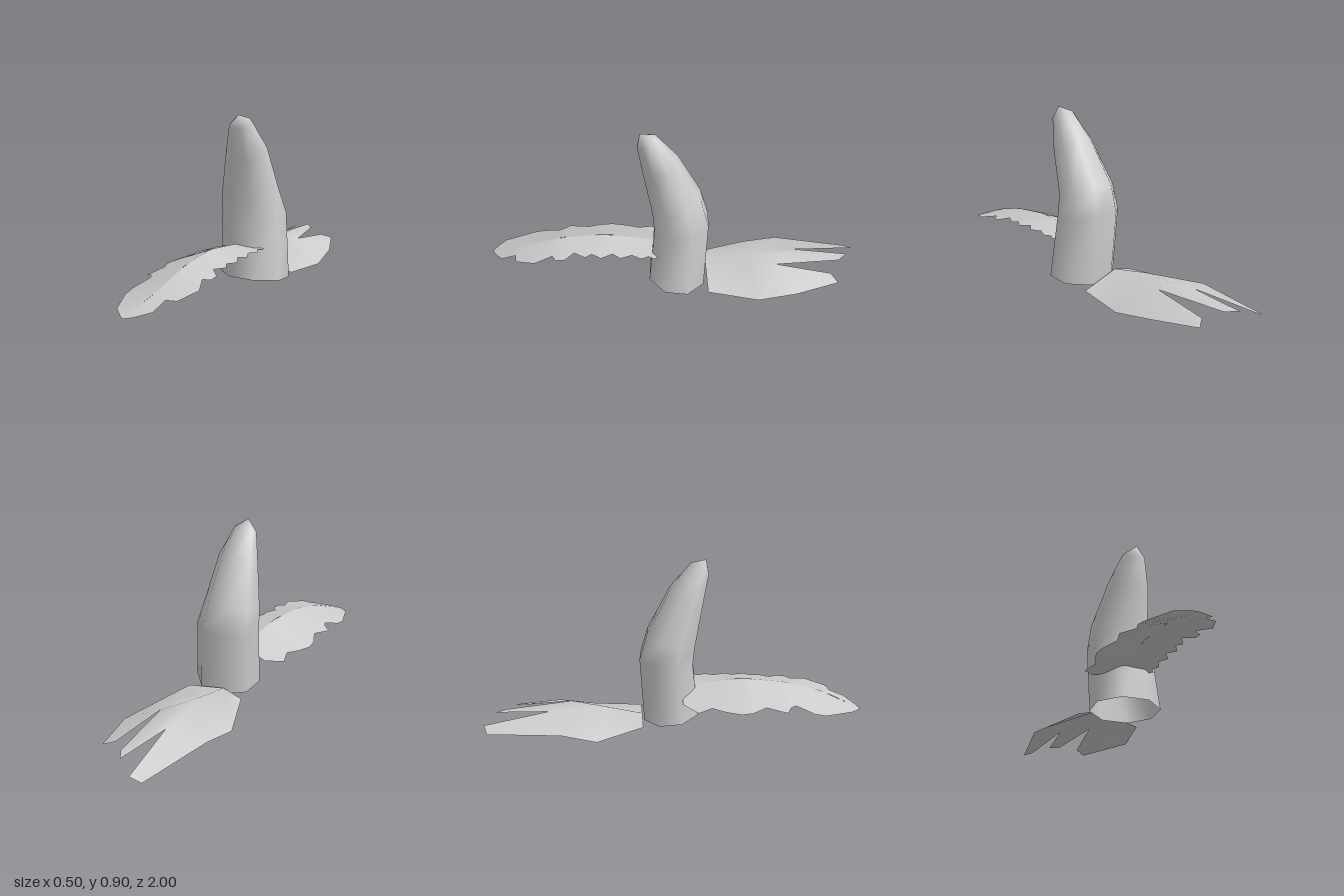
import * as THREE from 'three';

const grey = new THREE.MeshStandardMaterial({ color: 0xcccccc, side: THREE.DoubleSide });

function makeMesh(name, points, index) {
  const geometry = new THREE.BufferGeometry();
  geometry.setAttribute('position', new THREE.Float32BufferAttribute(points.flat(), 3));
  geometry.setIndex(index);
  geometry.computeVertexNormals();
  const mesh = new THREE.Mesh(geometry, grey);
  mesh.name = name;
  return mesh;
}

// Linear lookup in rows of [z, value, value, ...]
function lookup(rows, z, column) {
  let i = 1;
  while (i < rows.length - 1 && z > rows[i][0]) i++;
  const a = rows[i - 1], b = rows[i];
  const t = THREE.MathUtils.clamp((z - a[0]) / (b[0] - a[0]), 0, 1);
  return THREE.MathUtils.lerp(a[column], b[column], t);
}

// Hollow eight-sided horn, open below and bent forward to a blunt tip
function createBody() {
  // [x min, x max, z back, z front, y back, y front]
  const rings = [
    [-0.10, 0.24, -0.16, 0.13, 0.02, 0.05],
    [-0.11, 0.21, -0.18, 0.10, 0.38, 0.35],
    [-0.10, 0.18, -0.14, 0.11, 0.52, 0.45],
    [-0.04, 0.16, -0.02, 0.15, 0.75, 0.67],
    [0.01, 0.12, 0.09, 0.18, 0.88, 0.83],
  ];
  const sides = 8, points = [], index = [];
  const reach = 1 / Math.cos(Math.PI / sides);
  for (const [x0, x1, z0, z1, y0, y1] of rings) {
    for (let s = 0; s < sides; s++) {
      const angle = (s + 0.5) / sides * Math.PI * 2;
      const u = Math.sin(angle) * reach, v = Math.cos(angle) * reach;
      points.push([
        (x0 + x1) / 2 + u * (x1 - x0) / 2,
        (y0 + y1) / 2 + v * (y1 - y0) / 2,
        (z0 + z1) / 2 + v * (z1 - z0) / 2,
      ]);
    }
  }
  const tip = points.push([0.07, 0.9, 0.165]) - 1;
  for (let r = 0; r < rings.length; r++) {
    for (let s = 0; s < sides; s++) {
      const a = r * sides + s, b = r * sides + (s + 1) % sides;
      if (r === rings.length - 1) index.push(a, b, tip);
      else index.push(a, b, b + sides, a, b + sides, a + sides);
    }
  }
  return makeMesh('body', points, index);
}

// Long ragged leaf: strips from a drooping ridge out to each edge
function createFrontLeaf() {
  // [z, ridge height, slope to the right side, slope to the left side]
  const bend = [
    [0.05, 0.215, 0.28, 0.0], [0.36, 0.26, 0.42, 0.25], [0.60, 0.237, 0.36, 0.2],
    [0.80, 0.185, 0.29, 0.05], [1.0, 0.105, 0, 0],
  ];
  // Edge points as [x, z], from base to tip
  const rightEdge = [
    [-0.13, 0.05], [-0.20, 0.13], [-0.17, 0.20], [-0.20, 0.27], [-0.22, 0.35], [-0.21, 0.41],
    [-0.17, 0.48], [-0.20, 0.59], [-0.16, 0.61], [-0.14, 0.64], [-0.175, 0.73],
    [-0.175, 0.79], [-0.11, 0.94], [-0.065, 0.98], [-0.035, 1],
  ];
  const leftEdge = [
    [0.13, 0.05], [0.18, 0.10], [0.16, 0.13], [0.18, 0.17], [0.155, 0.22], [0.18, 0.28],
    [0.15, 0.32], [0.18, 0.38], [0.15, 0.43], [0.17, 0.465], [0.135, 0.525], [0.18, 0.57],
    [0.18, 0.62], [0.145, 0.64], [0.185, 0.73], [0.14, 0.84], [0.085, 0.85],
    [0.075, 0.93], [0.01, 0.98], [-0.035, 1],
  ];
  const leaf = new THREE.Group();
  leaf.name = 'frontLeaf';
  [rightEdge, leftEdge].forEach((edge, side) => {
    const points = [], index = [];
    edge.forEach(([x, z], i) => {
      const ridgeX = z > 0.8 ? THREE.MathUtils.lerp(0.02, -0.035, (z - 0.8) / 0.2) : 0.02;
      const ridgeY = lookup(bend, z, 1);
      const drop = Math.abs(x - ridgeX) * lookup(bend, z, 2 + side);
      points.push([ridgeX, ridgeY, z], [x, ridgeY - drop, z]);
      if (i === 0) return;
      const a = 2 * i - 2;
      if (side === 0) index.push(a, a + 1, a + 3, a, a + 3, a + 2);
      else index.push(a, a + 3, a + 1, a, a + 2, a + 3);
    });
    leaf.add(makeMesh(side === 0 ? 'leafRightHalf' : 'leafLeftHalf', points, index));
  });
  return leaf;
}

// Arched tail split into three pointed blades
function createTail() {
  const points = [
    [-0.02, 0.07, -0.17], [-0.02, 0.112, -0.38], [-0.02, 0.112, -0.58], // ridge
    [-0.13, 0.04, -0.16], [-0.25, 0.015, -0.395], [-0.245, 0.05, -0.58], // right edge
    [-0.195, 0.03, -0.975], [-0.14, 0.055, -1], [-0.065, 0.1, -0.67], // right blade
    [-0.045, 0.085, -0.955], [0.005, 0.08, -0.905], [0.07, 0.1, -0.56], // middle blade
    [0.095, 0.06, -0.85], [0.15, 0.04, -0.885], [0.235, 0.03, -0.65], // left blade
    [0.25, 0, -0.45], [0.205, 0.015, -0.185], // left edge
  ];
  const panels = [
    [0, 3, 4, 1], [1, 4, 5, 8, 2], [8, 5, 6, 7], [2, 8, 9, 10, 11],
    [0, 1, 15, 16], [1, 2, 11, 15], [11, 12, 13, 14, 15],
  ];
  const index = [];
  for (const panel of panels) {
    for (let i = 1; i < panel.length - 1; i++) index.push(panel[0], panel[i + 1], panel[i]);
  }
  return makeMesh('tail', points, index);
}

export function createModel() {
  const model = new THREE.Group();
  model.name = 'hornWithLeafAndTail';
  model.add(createBody(), createFrontLeaf(), createTail());
  return model;
}
